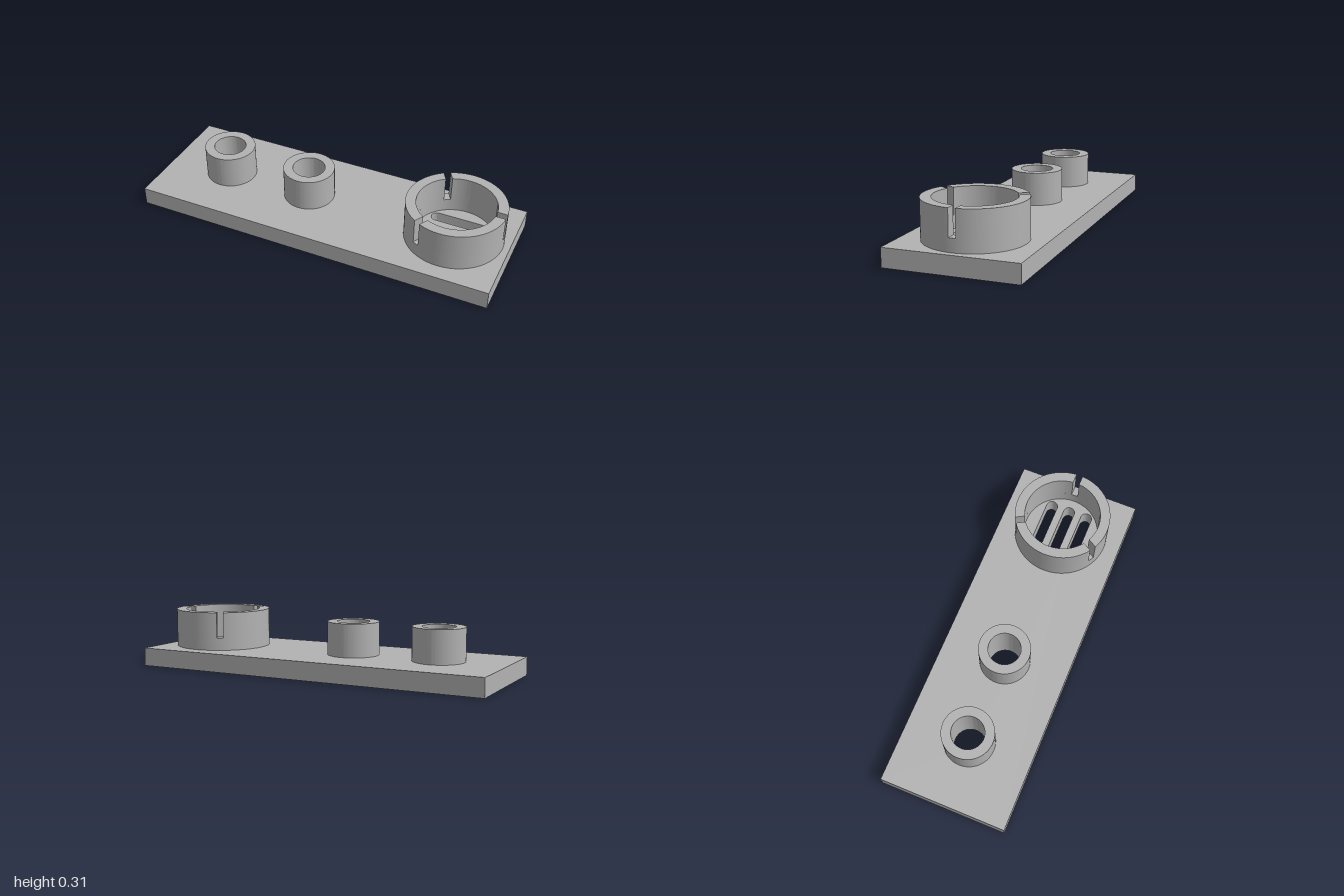
import * as THREE from 'three';
import { toCreasedNormals } from 'three/addons/utils/BufferGeometryUtils.js';

const BASE = { length: 2, width: 0.7, height: 0.1 };
const BOSS = { xs: [-0.635, -0.143], outer: 0.14, inner: 0.088, top: 0.28 };
const CUP = { x: 0.7, outer: 0.265, inner: 0.21, slotFloor: 0.17, top: 0.31, slotWidth: 0.036 };
const VENT = { zs: [-0.106, 0, 0.106], half: 0.162, radius: 0.032 };

// Upright prism from a plan outline, between two heights
function prism(shape, bottom, top) {
  const geo = new THREE.ExtrudeGeometry(shape, { depth: top - bottom, bevelEnabled: false, curveSegments: 64 });
  geo.rotateX(-Math.PI / 2);
  geo.translate(0, bottom, 0);
  return toCreasedNormals(geo, 0.6);
}

function circle(type, x, r) {
  return new type().absarc(x, 0, r, 0, Math.PI * 2, false);
}

function ring(outer, inner) {
  const shape = circle(THREE.Shape, 0, outer);
  shape.holes.push(circle(THREE.Path, 0, inner));
  return shape;
}

// Rounded-end slot running along x
function ventSlot(x, z) {
  const { half, radius } = VENT;
  const path = new THREE.Path();
  path.absarc(x + half - radius, -z, radius, -Math.PI / 2, Math.PI / 2, false);
  path.absarc(x - half + radius, -z, radius, Math.PI / 2, Math.PI * 1.5, false);
  path.closePath();
  return path;
}

// Wall segment between two parallel-sided slots
function wallSegment(start, end) {
  const a = Math.asin(CUP.slotWidth / 2 / CUP.outer);
  const b = Math.asin(CUP.slotWidth / 2 / CUP.inner);
  const shape = new THREE.Shape();
  shape.absarc(0, 0, CUP.outer, start + a, end - a, false);
  shape.absarc(0, 0, CUP.inner, end - b, start + b, true);
  shape.closePath();
  return shape;
}

export function createModel() {
  const model = new THREE.Group();
  model.name = 'mountingPlate';
  const grey = new THREE.MeshStandardMaterial({ color: 0xb2b2b2 });
  grey.name = 'plainGrey';

  function add(name, geo, parent = model) {
    const mesh = new THREE.Mesh(geo, grey);
    mesh.name = name;
    parent.add(mesh);
    return mesh;
  }

  // Base plate with two through holes and three vent slots
  const l = BASE.length / 2, w = BASE.width / 2;
  const plate = new THREE.Shape([
    new THREE.Vector2(-l, -w), new THREE.Vector2(l, -w),
    new THREE.Vector2(l, w), new THREE.Vector2(-l, w),
  ]);
  for (const x of BOSS.xs) plate.holes.push(circle(THREE.Path, x, BOSS.inner));
  for (const z of VENT.zs) plate.holes.push(ventSlot(CUP.x, z));
  add('basePlate', prism(plate, 0, BASE.height));

  // Hollow bosses over the through holes
  BOSS.xs.forEach((x, i) => {
    add(`boss${i + 1}`, prism(ring(BOSS.outer, BOSS.inner), BASE.height, BOSS.top)).position.x = x;
  });

  // Round cup: full ring below, three segments above the slot floor
  const cup = new THREE.Group();
  cup.name = 'slottedCup';
  cup.position.x = CUP.x;
  model.add(cup);
  add('cupLowerRing', prism(ring(CUP.outer, CUP.inner), BASE.height, CUP.slotFloor), cup);
  const step = Math.PI * 2 / 3;
  for (let i = 0; i < 3; i++) {
    add(`cupWall${i + 1}`, prism(wallSegment(i * step, (i + 1) * step), CUP.slotFloor, CUP.top), cup);
  }
  return model;
}
